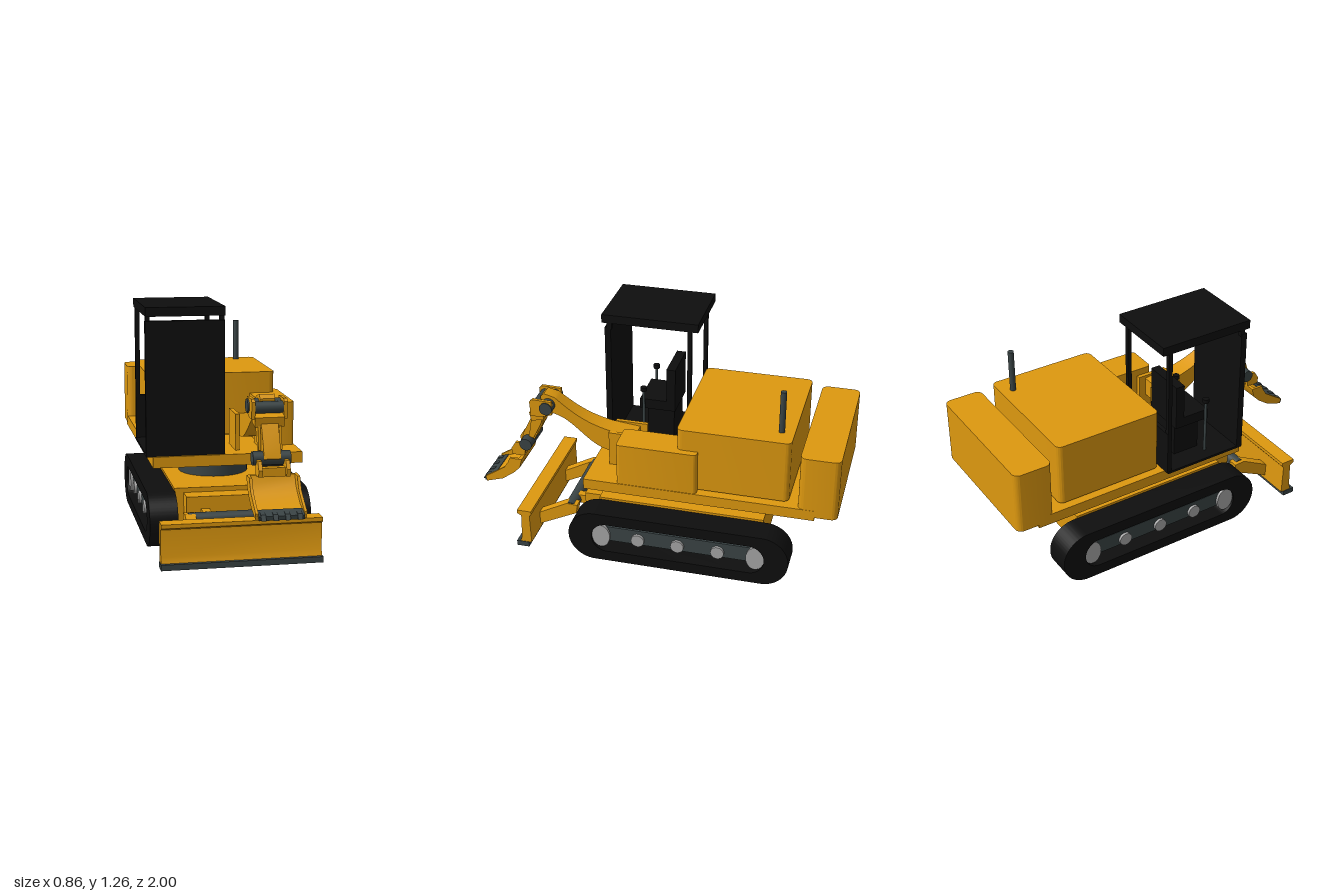
import * as THREE from 'three';
import { toCreasedNormals } from 'three/addons/utils/BufferGeometryUtils.js';

const material = (name, color) => Object.assign(new THREE.MeshStandardMaterial({ color }), { name });

export function createModel() {
  const yellow = material('yellow paint', 0xdd980f);
  const black = material('black rubber and cab', 0x0e0e0e);
  const steel = material('dark steel', 0x3a4445);
  const silver = material('light wheel metal', 0xa6a6a6);
  const model = new THREE.Group();
  model.name = 'miniExcavator';

  const add = (name, geometry, mat) => {
    const mesh = new THREE.Mesh(geometry, mat);
    mesh.name = name;
    model.add(mesh);
    return mesh;
  };
  const box = (name, mat, x0, x1, y0, y1, z0, z1) => {
    const mesh = add(name, new THREE.BoxGeometry(x1 - x0, y1 - y0, z1 - z0), mat);
    mesh.position.set((x0 + x1) / 2, (y0 + y1) / 2, (z0 + z1) / 2);
    return mesh;
  };
  // Upright round post
  const post = (name, mat, x, z, r, y0, y1, sides = 32) => {
    add(name, new THREE.CylinderGeometry(r, r, y1 - y0, sides), mat).position.set(x, (y0 + y1) / 2, z);
  };
  // Round pin running along x
  const pin = (name, mat, x0, x1, y, z, r, rz = r) => {
    const geo = new THREE.CylinderGeometry(1, 1, x1 - x0, 28).rotateZ(Math.PI / 2).scale(1, r, rz);
    add(name, geo, mat).position.set((x0 + x1) / 2, y, z);
  };
  const extrude = (shape, depth) =>
    new THREE.ExtrudeGeometry(shape, { depth, bevelEnabled: false, curveSegments: 16 });
  // Side profile in (z, y), extruded from x0 to x1
  const sideGeometry = (shape, x0, x1) =>
    toCreasedNormals(extrude(shape, x1 - x0).rotateY(-Math.PI / 2).translate(x1, 0, 0), 0.6);
  const polygon = (points) => new THREE.Shape(points.map(([z, y]) => new THREE.Vector2(z, y)));
  const profile = (name, mat, points, x0, x1) => add(name, sideGeometry(polygon(points), x0, x1), mat);
  const rounded = (path, x0, x1, y0, y1, r) => {
    path.moveTo(x0 + r, y0);
    path.lineTo(x1 - r, y0).absarc(x1 - r, y0 + r, r, -Math.PI / 2, 0);
    path.lineTo(x1, y1 - r).absarc(x1 - r, y1 - r, r, 0, Math.PI / 2);
    path.lineTo(x0 + r, y1).absarc(x0 + r, y1 - r, r, Math.PI / 2, Math.PI);
    path.lineTo(x0, y0 + r).absarc(x0 + r, y0 + r, r, Math.PI, Math.PI * 1.5);
    return path;
  };
  // Block with rounded vertical edges
  const housing = (name, x0, x1, y0, y1, z0, z1, r) => {
    const shape = rounded(new THREE.Shape(), x0, x1, -z1, -z0, r);
    const geo = extrude(shape, y1 - y0).rotateX(-Math.PI / 2).translate(0, y0, 0);
    add(name, toCreasedNormals(geo, 0.6), yellow);
  };

  // Tracks with side frames and wheels
  for (const s of [-1, 1]) {
    const span = (a, b) => (s > 0 ? [a, b] : [-b, -a]);
    const loop = rounded(new THREE.Shape(), -0.765, 0.445, 0, 0.292, 0.1455);
    loop.holes.push(rounded(new THREE.Path(), -0.635, 0.315, 0.06, 0.23, 0.0845));
    add('track', sideGeometry(loop, ...span(0.278, 0.427)), black);
    box('trackFrame', steel, ...span(0.285, 0.4), 0.115, 0.203, -0.585, 0.265);
    for (const z of [0.265, -0.585]) pin('endWheel', silver, ...span(0.285, 0.415), 0.147, z, 0.068, 0.05);
    for (const z of [0.06, -0.16, -0.38]) pin('roadWheel', silver, ...span(0.39, 0.415), 0.147, z, 0.036);
  }

  // Undercarriage and turntable
  box('undercarriage', yellow, -0.28, 0.278, 0.11, 0.305, -0.6, 0.31);
  box('bladeMount', yellow, -0.23, 0.22, 0.12, 0.28, 0.3, 0.41);
  post('turntableBase', steel, 0, -0.11, 0.192, 0.3, 0.365, 48);
  post('turntable', steel, 0, -0.11, 0.16, 0.36, 0.43, 48);

  // Dozer blade, cutting edge, arms and cross tube
  profile('blade', yellow, [[0.67, 0.03], [0.735, 0.03], [0.725, 0.06], [0.722, 0.2],
    [0.745, 0.212], [0.745, 0.232], [0.665, 0.232], [0.665, 0.212], [0.675, 0.2]], -0.41, 0.41);
  box('cuttingEdge', steel, -0.413, 0.413, 0, 0.03, 0.685, 0.755);
  for (const x of [-0.255, 0.2]) {
    profile('bladeArm', yellow, [[0.68, 0.05], [0.68, 0.125], [0.51, 0.215], [0.45, 0.21],
      [0.455, 0.16]], x, x + 0.055);
  }
  for (const x of [-0.155, 0.11]) box('tubeBracket', yellow, x, x + 0.045, 0.165, 0.215, 0.4, 0.5);
  pin('bladeTube', steel, -0.235, 0.25, 0.185, 0.492, 0.034);

  // Rotating deck and bodywork
  box('deck', yellow, -0.397, 0.397, 0.428, 0.487, -0.88, 0.36);
  housing('engineCover', -0.36, 0.356, 0.495, 0.84, -0.737, -0.14, 0.03);
  box('engineBase', yellow, -0.34, 0.33, 0.48, 0.5, -0.25, -0.15);
  housing('sideTank', 0.215, 0.394, 0.485, 0.722, -0.255, 0.178, 0.02);
  housing('counterweight', -0.398, 0.396, 0.447, 0.79, -0.998, -0.79, 0.035);
  post('exhaust', steel, 0.24, -0.668, 0.016, 0.83, 1.072, 20);

  // Cab
  box('cabRoof', black, -0.43, -0.017, 1.215, 1.262, -0.163, 0.365);
  box('frontPanel', black, -0.43, -0.017, 0.485, 1.19, 0.315, 0.348);
  box('cabFloor', black, -0.43, -0.017, 0.485, 0.498, -0.125, 0.345);
  box('rearWall', black, -0.428, -0.019, 0.49, 0.735, -0.13, -0.108);
  for (const x of [-0.428, -0.042]) {
    box('frontPost', black, x, x + 0.024, 1.18, 1.22, 0.31, 0.337);
    box('rearPost', black, x, x + 0.024, 0.49, 1.22, -0.128, -0.106);
  }
  box('seatBase', black, -0.31, -0.12, 0.49, 0.69, -0.01, 0.14);
  box('seatCushion', black, -0.34, -0.1, 0.68, 0.737, -0.02, 0.18);
  box('seatBack', black, -0.34, -0.1, 0.72, 0.933, -0.02, 0.03);
  for (const x of [-0.36, -0.08]) {
    post('lever', steel, x, 0.153, 0.008, 0.49, 0.81, 12);
    post('leverKnob', black, x, 0.153, 0.018, 0.8, 0.822, 12);
  }

  // Boom foot plates
  for (const x of [0.055, 0.193]) box('boomFootPlate', yellow, x, x + 0.022, 0.485, 0.682, 0.09, 0.268);
  pin('boomFootPin', steel, 0.06, 0.21, 0.6, 0.2, 0.03);

  // Boom, narrowing towards its tip
  const boomShape = new THREE.Shape();
  boomShape.moveTo(0.13, 0.56);
  boomShape.lineTo(0.27, 0.56);
  boomShape.bezierCurveTo(0.4, 0.58, 0.46, 0.71, 0.58, 0.735);
  boomShape.lineTo(0.65, 0.755);
  boomShape.lineTo(0.66, 0.83);
  boomShape.lineTo(0.64, 0.85);
  boomShape.lineTo(0.58, 0.835);
  boomShape.bezierCurveTo(0.5, 0.775, 0.42, 0.71, 0.26, 0.682);
  boomShape.lineTo(0.13, 0.665);
  const boom = sideGeometry(boomShape, -0.062, 0.062);
  const bp = boom.attributes.position;
  for (let i = 0; i < bp.count; i++) {
    const t = THREE.MathUtils.clamp((bp.getZ(i) - 0.15) / 0.45, 0, 1);
    bp.setX(i, 0.139 + bp.getX(i) * (1 - 0.38 * t));
  }
  add('boom', boom, yellow);

  // Boom tip clevis and arm
  for (const x of [0.05, 0.213]) {
    profile('tipPlate', yellow, [[0.58, 0.755], [0.64, 0.735], [0.7, 0.735], [0.705, 0.82],
      [0.69, 0.835], [0.58, 0.832]], x, x + 0.018);
  }
  pin('boomTipPin', steel, 0.042, 0.238, 0.789, 0.613, 0.036);
  pin('armTopPin', steel, 0.06, 0.22, 0.789, 0.67, 0.03);
  profile('armHead', yellow, [[0.635, 0.71], [0.705, 0.695], [0.715, 0.745], [0.66, 0.765],
    [0.635, 0.745]], 0.065, 0.215);
  profile('arm', yellow, [[0.64, 0.72], [0.655, 0.66], [0.705, 0.56], [0.73, 0.515],
    [0.78, 0.55], [0.765, 0.6], [0.715, 0.7], [0.695, 0.74]], 0.097, 0.183);
  for (const x of [0.08, 0.187]) {
    profile('armSidePlate', yellow, [[0.645, 0.71], [0.66, 0.665], [0.705, 0.575], [0.73, 0.585],
      [0.71, 0.7]], x, x + 0.013);
  }

  // Bucket linkage
  pin('bucketPin', steel, 0.044, 0.236, 0.548, 0.74, 0.035);
  for (const x of [0.06, 0.2]) {
    profile('bucketLink', yellow, [[0.755, 0.465], [0.825, 0.47], [0.83, 0.505], [0.805, 0.545],
      [0.74, 0.548], [0.75, 0.51]], x, x + 0.02);
  }
  box('linkBlock', yellow, 0.08, 0.2, 0.465, 0.51, 0.76, 0.8);

  // Bucket: curved shell between two side plates
  const outer = [[0.755, 0.47], [0.77, 0.415], [0.81, 0.375], [0.875, 0.33], [0.97, 0.3]];
  const shell = [[0.975, 0.318], [0.885, 0.348], [0.825, 0.39], [0.79, 0.425], [0.775, 0.47]];
  const rim = [[0.975, 0.33], [0.915, 0.368], [0.86, 0.405], [0.835, 0.445], [0.825, 0.47]];
  profile('bucketShell', yellow, [...outer, ...shell], 0.022, 0.26);
  for (const x of [0.014, 0.254]) profile('bucketSide', yellow, [...outer, ...rim], x, x + 0.014);
  profile('bucketLip', steel, [[0.925, 0.311], [0.985, 0.296], [0.988, 0.318], [0.93, 0.337]], 0.028, 0.254);
  for (const x of [0.05, 0.11, 0.17, 0.23]) {
    profile('bucketTooth', steel, [[0.955, 0.298], [1, 0.298], [0.985, 0.325], [0.955, 0.332]], x - 0.012, x + 0.012);
  }
  return model;
}
